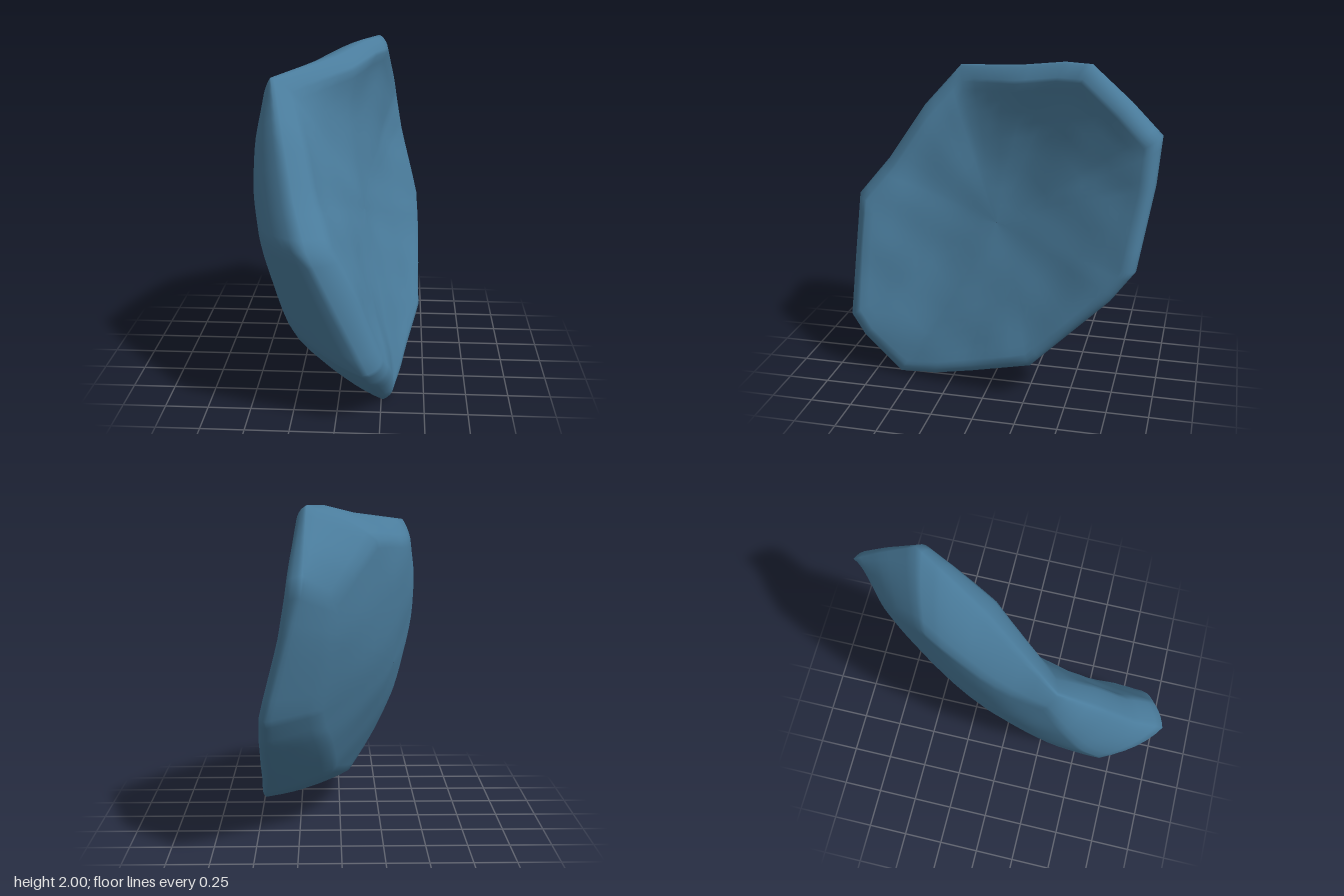
import * as THREE from 'three';

// Outline, clockwise seen from +x: z, y, x at the widest line, x at the edge of the face,
// and the outline scale where the rim runs into the back
const RIM = [
  [0.35, 1.86, -0.4, -0.28, 0.86], [-0.1, 1.93, -0.08, 0.05, 0.82], [-0.4, 1.99, 0.09, 0.18, 0.8],
  [-0.57, 2.0, 0.19, 0.25, 0.8], [-0.8, 1.8, 0.2, 0.28, 0.82], [-0.98, 1.62, 0.21, 0.3, 0.82],
  [-0.96, 1.35, 0.28, 0.34, 0.82], [-0.88, 0.87, 0.41, 0.45, 0.82], [-0.74, 0.68, 0.42, 0.46, 0.82],
  [-0.5, 0.44, 0.42, 0.47, 0.82], [-0.28, 0.23, 0.45, 0.47, 0.82], [0.1, 0.11, 0.37, 0.4, 0.82],
  [0.35, 0.04, 0.32, 0.36, 0.82], [0.59, 0.0, 0.26, 0.32, 0.82], [0.85, 0.21, 0.2, 0.3, 0.77],
  [0.95, 0.32, 0.15, 0.26, 0.72], [0.97, 0.7, -0.03, 0.12, 0.68], [0.985, 1.03, -0.18, -0.02, 0.66],
  [0.8, 1.26, -0.26, -0.11, 0.7], [0.58, 1.6, -0.34, -0.19, 0.76],
];
const SUB = 4;              // segments per outline edge
const FACE_EDGE = 0.9;      // outline scale where the face meets the rim
const FLAT = [0.001, 0.12, 0.24, 0.36, 0.48, 0.6, 0.7, 0.79, 0.87, 0.94, 1];
const BEVEL = 6;            // steps in each half of the rounded rim

// Dished face and domed back as x over z and height above the middle
const face = (z, h) => 0.125 - 0.25 * z - 0.3 * h + 0.14 * z * z - 0.15 * z * h + 0.04 * h * h;
const back = (z, h) => -0.33 - 0.37 * z - 0.27 * h + 0.31 * z * z + 0.1 * z * h + 0.25 * h * h;

// Gentle chipped unevenness
const dents = (z, h) =>
  Math.sin(7.3 * z + 3.1 * h) * Math.sin(5.7 * h - 2.2 * z + 1) * 0.6 +
  Math.sin(13 * z - 6 * h + 2) * Math.sin(11 * h + 4 * z) * 0.4;

// Outline with each edge subdivided
const outline = () => RIM.flatMap((a, i) => {
  const b = RIM[(i + 1) % RIM.length];
  return Array.from({ length: SUB }, (_, k) => a.map((v, c) => v + (b[c] - v) * k / SUB));
});

// Points along one spoke of one side, from the middle out to just inside the widest line
function spoke([z0, y0, xMid, xFace, backEdge], front) {
  const h0 = y0 - 1, edge = front ? FACE_EDGE : backEdge;
  const gap = xFace - face(z0 * FACE_EDGE, h0 * FACE_EDGE);
  const point = (s, k) => {
    const z = z0 * s, h = h0 * s;
    const surface = front ? face(z, h) + gap * Math.pow(Math.min(1, s / FACE_EDGE), 3) : back(z, h);
    const x = surface + dents(z, h) * (front ? 0.015 : 0.008) * Math.min(1, (1 - s) * 5);
    return [xMid + (x - xMid) * k, 1 + h, z];
  };
  const points = FLAT.map((f) => point(f * edge, 1));
  for (let i = BEVEL - 1; i >= 1; i--) {
    const t = i / BEVEL, a = t * Math.PI / 2;
    // Half round, half straight bevel
    points.push(point(1 - (1 - edge) * (t + 1 - Math.cos(a)) / 2, (t + Math.sin(a)) / 2));
  }
  return points;
}

function slabGeometry() {
  const spokes = outline().map((p) => [
    ...spoke(p, true), [p[2], p[1], p[0]], ...spoke(p, false).reverse(),
  ]);
  const n = spokes.length, rows = spokes[0].length, index = [];
  spokes.forEach((_, j) => {
    const next = ((j + 1) % n) * rows;
    for (let r = 0; r < rows - 1; r++) {
      const a = j * rows + r, d = next + r;
      index.push(a, d + 1, a + 1, a, d, d + 1);
    }
  });
  const g = new THREE.BufferGeometry();
  g.setAttribute('position', new THREE.Float32BufferAttribute(spokes.flat(2), 3));
  g.setIndex(index);
  g.computeVertexNormals();
  return g;
}

export function createModel() {
  const group = new THREE.Group();
  group.name = 'curvedShard';
  const slateBlue = new THREE.MeshStandardMaterial({ color: 0x4a7c9c });
  slateBlue.name = 'slateBlue';
  const slab = new THREE.Mesh(slabGeometry(), slateBlue);
  slab.name = 'slab';
  group.add(slab);
  return group;
}
